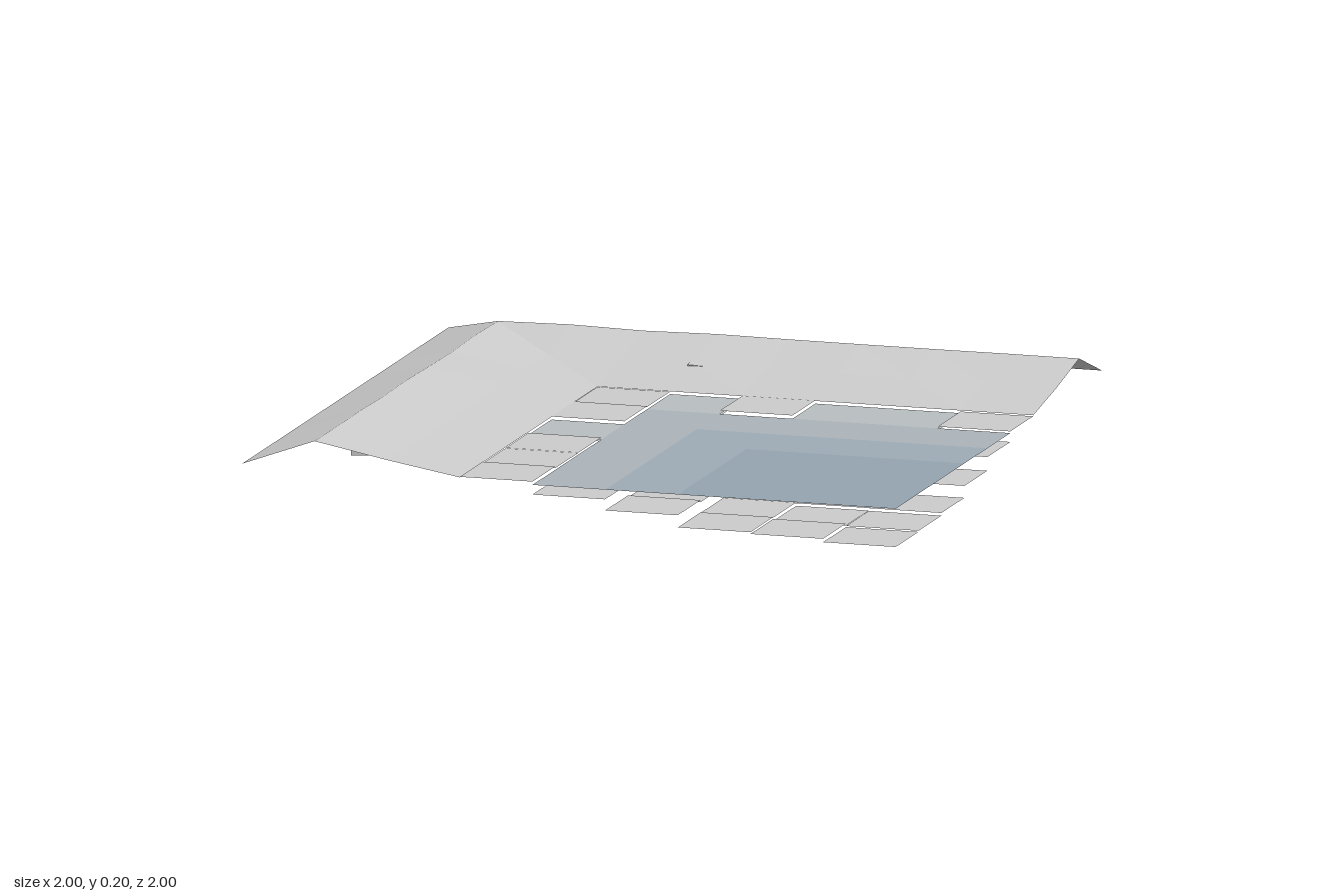
import * as THREE from 'three';

const N = 9, CELL = 2 / N, WATER_Y = 0.114;
const grey = () => new THREE.MeshStandardMaterial({ color: 0xcccccc, side: THREE.DoubleSide, flatShading: true });
const at = (i) => -1 + i * CELL;

// Small repeatable variation in -1..1 for a grid position
function vary(i, j) {
  const s = Math.sin(i * 12.99 + j * 78.23) * 437.58;
  return (s - Math.floor(s)) * 2 - 1;
}

// Surface made of grid cells; height(i, j) gives each corner of cell [ci, cj]
function cellSurface(name, cells, height, material) {
  const pos = [];
  for (const [ci, cj] of cells) {
    const corner = (a, b) => [at(ci + a), height(ci + a, cj + b, ci, cj), at(cj + b)];
    const p00 = corner(0, 0), p10 = corner(1, 0), p01 = corner(0, 1), p11 = corner(1, 1);
    pos.push(...p00, ...p01, ...p11, ...p00, ...p11, ...p10);
  }
  const geo = new THREE.BufferGeometry();
  geo.setAttribute('position', new THREE.Float32BufferAttribute(pos, 3));
  geo.computeVertexNormals();
  const mesh = new THREE.Mesh(geo, material);
  mesh.name = name;
  return mesh;
}

export function createModel() {
  const model = new THREE.Group();
  model.name = 'coastCorner';
  const all = [];
  for (let j = 0; j < N; j++) for (let i = 0; i < N; i++) all.push([i, j]);
  const ring = (i, j) => Math.min(i, j);

  // Banks: outer slope, ridge and inner slope on the left and back sides
  const profile = [0.12, 0.2, 0.157, 0.122];
  const bankHeight = (i, j) => {
    const d = Math.min(ring(i, j), 3);
    return profile[d] + (d === 1 || d === 2 ? 0.003 * vary(i, j) : 0);
  };
  model.add(cellSurface('bank', all.filter(([i, j]) => ring(i, j) < 3), bankHeight, grey()));

  // Shore: loose flat tiles around the water, a few just under its level
  const wet = (i, j) => j === 3 ? [4, 6, 7].includes(i) : i === 3 && j === 5;
  const shore = all.filter(([i, j]) => ring(i, j) === 3);
  model.add(cellSurface('shore', shore,
    (a, b, i, j) => (wet(i, j) ? 0.108 : 0.121 + 0.003 * vary(i, j)), grey()));

  // Seabed: separate flat tiles stepping down to the deep corner
  const depth = { 4: 0.09, 5: 0.05, 6: 0.014, 7: 0.008, 8: 0 };
  const bed = all.filter(([i, j]) => ring(i, j) > 3);
  model.add(cellSurface('seabed', bed, (a, b, i, j) => {
    const d = ring(i, j);
    return Math.max(0, depth[d] + (d < 8 ? 0.005 * vary(i, j) : 0));
  }, grey()));

  // Water: one level sheet, tinted by depth
  const tints = [0xb8bebf, 0xabb4ba, 0x9dabb5, 0x95a4b0];
  const water = new THREE.Group();
  water.name = 'water';
  tints.forEach((color, k) => {
    const cells = all.filter(([i, j]) => {
      const d = ring(i, j);
      return d >= 3 && Math.min(d - 3, 3) === k && (k > 0 || wet(i, j));
    });
    const material = grey();
    material.color.set(color);
    water.add(cellSurface('waterBand' + k, cells, () => WATER_Y, material));
  });
  model.add(water);

  // Rocks: tilted blocks sunk into the banks
  const rocks = [[-0.09, 0.133, -0.58, 0.08, 0.1, -0.08], [-0.72, 0.131, 0.68, -0.06, 0.06, 0.05]];
  for (const [x, y, z, rx, ry, rz] of rocks) {
    const rock = new THREE.Mesh(new THREE.BoxGeometry(0.076, 0.055, 0.076), grey());
    rock.name = 'rock';
    rock.position.set(x, y, z);
    rock.rotation.set(rx, ry, rz);
    model.add(rock);
  }
  return model;
}
